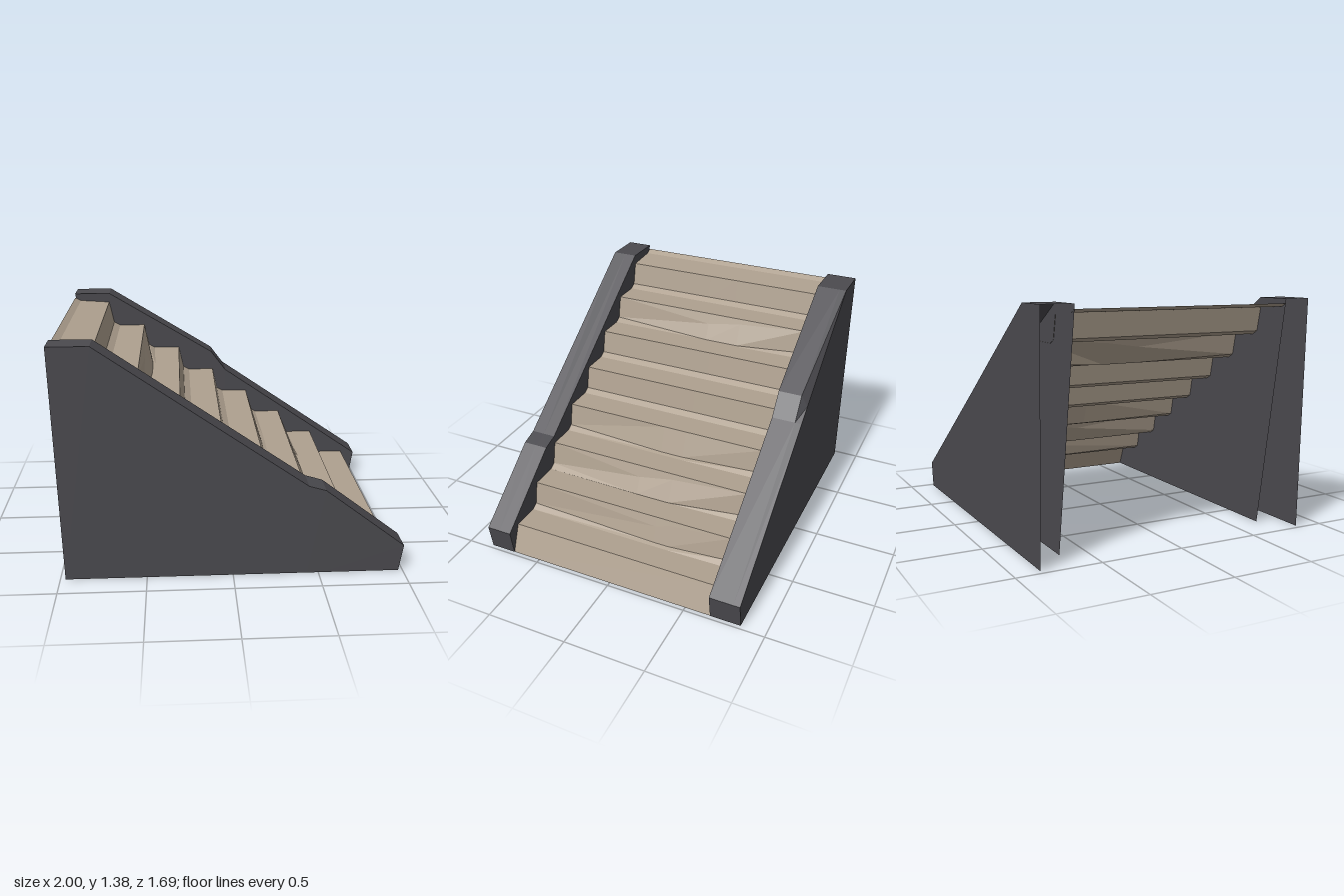
import * as THREE from 'three';

const stone = new THREE.MeshStandardMaterial({ color: 0x4b4a4f, side: THREE.DoubleSide });
stone.name = 'dark stone';
const tan = new THREE.MeshStandardMaterial({ color: 0xaea08f, side: THREE.DoubleSide });
tan.name = 'worn tan';

// Flat-shaded mesh from a list of triangle corners
function facetMesh(corners, material, name) {
  const geometry = new THREE.BufferGeometry().setFromPoints(corners);
  geometry.computeVertexNormals();
  const mesh = new THREE.Mesh(geometry, material);
  mesh.name = name;
  return mesh;
}

const V = (x, y, z) => new THREE.Vector3(x, y, z);

// Hollow side wall lofted along x, open underneath and at the tall end; each station is
// [top x, outer y, mid y, inner y, outer bottom x, inner bottom x]
function sideWall(name, side, outer, mid, inner, stations) {
  const rows = stations.map(([x, yo, ym, yi, bo, bi]) => [
    V(bo, 0, outer), V(x, yo, outer), V(x, ym, mid), V(x, yi, inner), V(bi, 0, inner),
  ]);
  const out = [];
  const tri = (a, b, c) => out.push(...(side > 0 ? [a, b, c] : [a, c, b]));
  for (let i = 0; i + 1 < rows.length; i++) {
    const r = rows[i], q = rows[i + 1];
    for (let j = 0; j < 4; j++) {
      tri(r[j], q[j], q[j + 1]);
      tri(r[j], q[j + 1], r[j + 1]);
    }
  }
  // Cap on the low end
  const last = rows[rows.length - 1];
  for (let j = 1; j < 4; j++) tri(last[0], last[j + 1], last[j]);
  return facetMesh(out, stone, name);
}

// Stair sheet: sloped risers, small fillets at their feet, some worn nosings
function stairs() {
  const zBack = -0.66, zFront = 0.685, run = 0.239, rise = 0.164, count = 8;
  // step index: [z where wear starts, z where it ends, depth of the chip, outward shift of the foot]
  const wear = {
    1: [0, -0.22, 0.065, 0.037],
    4: [0, -0.15, 0, 0.025],
    5: [0.05, -0.17, 0.07, 0.045],
    6: [-0.17, -0.27, 0.057, 0.022],
  };
  const nose = (k) => [-0.768 + run * k, 1.32 - rise * k];
  const out = [];

  // Join matching profiles [x, y] placed at successive z
  function strip(profiles, zs) {
    for (let s = 0; s + 1 < zs.length; s++) {
      for (let p = 0; p + 1 < profiles[s].length; p++) {
        const a = V(...profiles[s][p], zs[s]), b = V(...profiles[s][p + 1], zs[s]);
        const d = V(...profiles[s + 1][p], zs[s + 1]), c = V(...profiles[s + 1][p + 1], zs[s + 1]);
        out.push(a, d, c, a, c, b);
      }
    }
  }

  // Top landing
  const landing = [[-1, 1.353], [-0.962, 1.333], nose(0)];
  strip([landing, landing], [zBack, zFront]);

  for (let k = 0; k < count - 1; k++) {
    const [x, y] = nose(k), next = nose(k + 1);
    const [z1, z0, chip, push] = wear[k] || [0.1, -0.1, 0, 0];
    const profile = (c, f) => [
      [x, y],
      [x + c * 0.35, y - c],
      [x + 0.03 + f, next[1] + 0.022 - f * 0.6],
      [x + 0.07 + f * 0.3, next[1]],
      next,
    ];
    const intact = profile(0, 0);
    strip([intact, profile(chip * 0.5, push), profile(chip, push), intact], [zBack, z0, z1, zFront]);
  }

  // Bottom riser
  const foot = [nose(count - 1), [0.974, 0]];
  strip([foot, foot], [zBack, zFront]);
  return facetMesh(out, tan, 'stairs');
}

export function createModel() {
  const model = new THREE.Group();
  model.name = 'staircase';
  model.add(
    stairs(),
    sideWall('frontWall', 1, 0.843, 0.76, 0.683, [
      [-1, 1.38, 1.38, 1.38, -0.97, -0.79],
      [-0.765, 1.38, 1.38, 1.38, -0.77, -0.7],
      [0.43, 0.55, 0.55, 0.55, 0.43, 0.43],
      [0.53, 0.52, 0.52, 0.52, 0.53, 0.53],
      [1, 0.16, 0.16, 0.16, 0.975, 0.975],
    ]),
    // The back wall has a raised lump on the inner part of its coping
    sideWall('backWall', -1, -0.847, -0.805, -0.658, [
      [-1, 1.38, 1.38, 1.38, -0.97, -0.79],
      [-0.765, 1.38, 1.38, 1.38, -0.77, -0.7],
      [-0.06, 0.89, 0.955, 0.955, -0.06, -0.06],
      [0.04, 0.82, 0.82, 0.82, 0.04, 0.04],
      [1, 0.16, 0.16, 0.16, 0.975, 0.975],
    ]),
  );
  return model;
}
